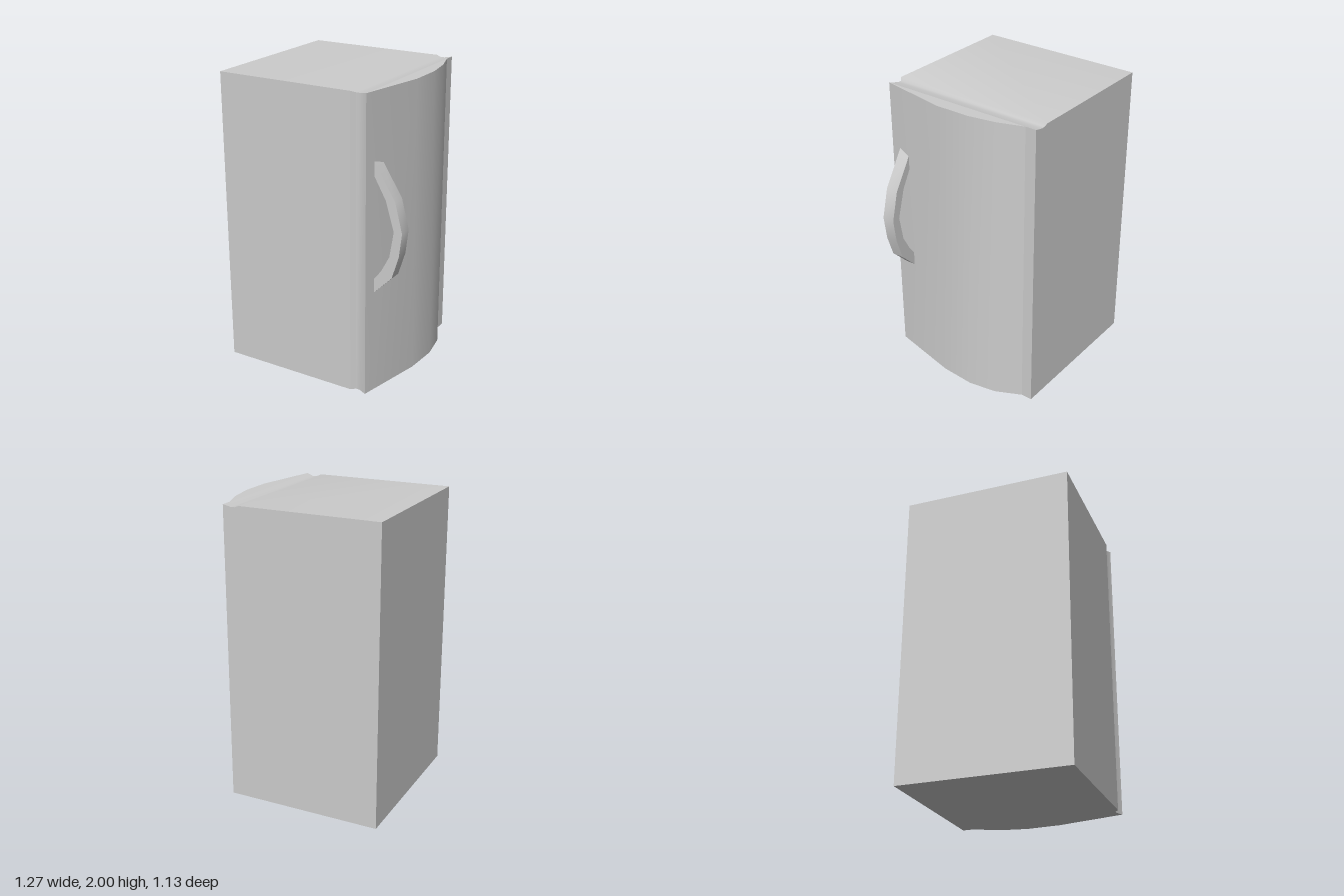
import * as THREE from 'three';
import { toCreasedNormals } from 'three/addons/utils/BufferGeometryUtils.js';

const material = new THREE.MeshStandardMaterial({ color: 0xcccccc });
const CREASE = 0.46;
const HEIGHT = 2, DEPTH = 0.565;

function makeMesh(name, geometry) {
  const mesh = new THREE.Mesh(toCreasedNormals(geometry, CREASE), material);
  mesh.name = name;
  return mesh;
}

// Collects counter-clockwise polygons as triangle fans
function fromPolygons(polygons) {
  const positions = [];
  for (const p of polygons) {
    for (let i = 1; i < p.length - 1; i++) positions.push(...p[0], ...p[i], ...p[i + 1]);
  }
  const geometry = new THREE.BufferGeometry();
  geometry.setAttribute('position', new THREE.Float32BufferAttribute(positions, 3));
  return geometry;
}

// Cabinet: cross-sections along x, with a shallow seam groove beside the door
function cabinetGeometry() {
  const sections = [ // x, front z, top y
    [-0.64, DEPTH, HEIGHT],
    [0.31, DEPTH, HEIGHT],
    [0.337, 0.54, 1.989],
    [0.365, 0.54, 1.989],
    [0.42, DEPTH, HEIGHT],
  ].map(([x, z, y]) => [[x, 0, -DEPTH], [x, 0, z], [x, y, z], [x, y, -DEPTH]]);

  const polygons = [sections[0], [...sections[sections.length - 1]].reverse()];
  for (let i = 0; i < sections.length - 1; i++) {
    const a = sections[i], b = sections[i + 1];
    for (let j = 0; j < 4; j++) {
      const k = (j + 1) % 4;
      polygons.push([a[j], b[j], b[k], a[k]]);
    }
  }
  return fromPolygons(polygons);
}

// Door: bowed panel that leans inward slightly towards the top
function doorGeometry() {
  const outline = [ // z, bottom x, top x
    [DEPTH, 0.42, 0.42],
    [0.10, 0.522, 0.508],
    [-0.133, 0.536, 0.508],
    [-0.32, 0.503, 0.476],
    [-0.49, 0.42, 0.42],
  ];
  const bottom = outline.map(([z, x]) => [x, 0, z]);
  const top = outline.map(([z, , x]) => [x, HEIGHT, z]);
  const polygons = [top, [...bottom].reverse()];
  for (let i = 0; i < outline.length - 1; i++) {
    polygons.push([bottom[i], bottom[i + 1], top[i + 1], top[i]]);
  }
  return fromPolygons(polygons);
}

// Handle: bowed bar, extruded across the door
function handleGeometry() {
  const outer = [[0.434, 1.57], [0.58, 1.335], [0.63, 1.14], [0.61, 0.98], [0.563, 0.83], [0.44, 0.705]];
  const inner = [[0.44, 0.8], [0.487, 0.86], [0.545, 0.97], [0.573, 1.14], [0.515, 1.335], [0.434, 1.478]];
  const shape = new THREE.Shape([...outer, ...inner].map(([x, y]) => new THREE.Vector2(x, y)));
  const geometry = new THREE.ExtrudeGeometry(shape, { depth: 0.086, bevelEnabled: false });
  return geometry.translate(0, 0, 0.404);
}

export function createModel() {
  const group = new THREE.Group();
  group.name = 'refrigerator';
  group.add(
    makeMesh('cabinet', cabinetGeometry()),
    makeMesh('door', doorGeometry()),
    makeMesh('handle', handleGeometry()),
  );
  return group;
}
